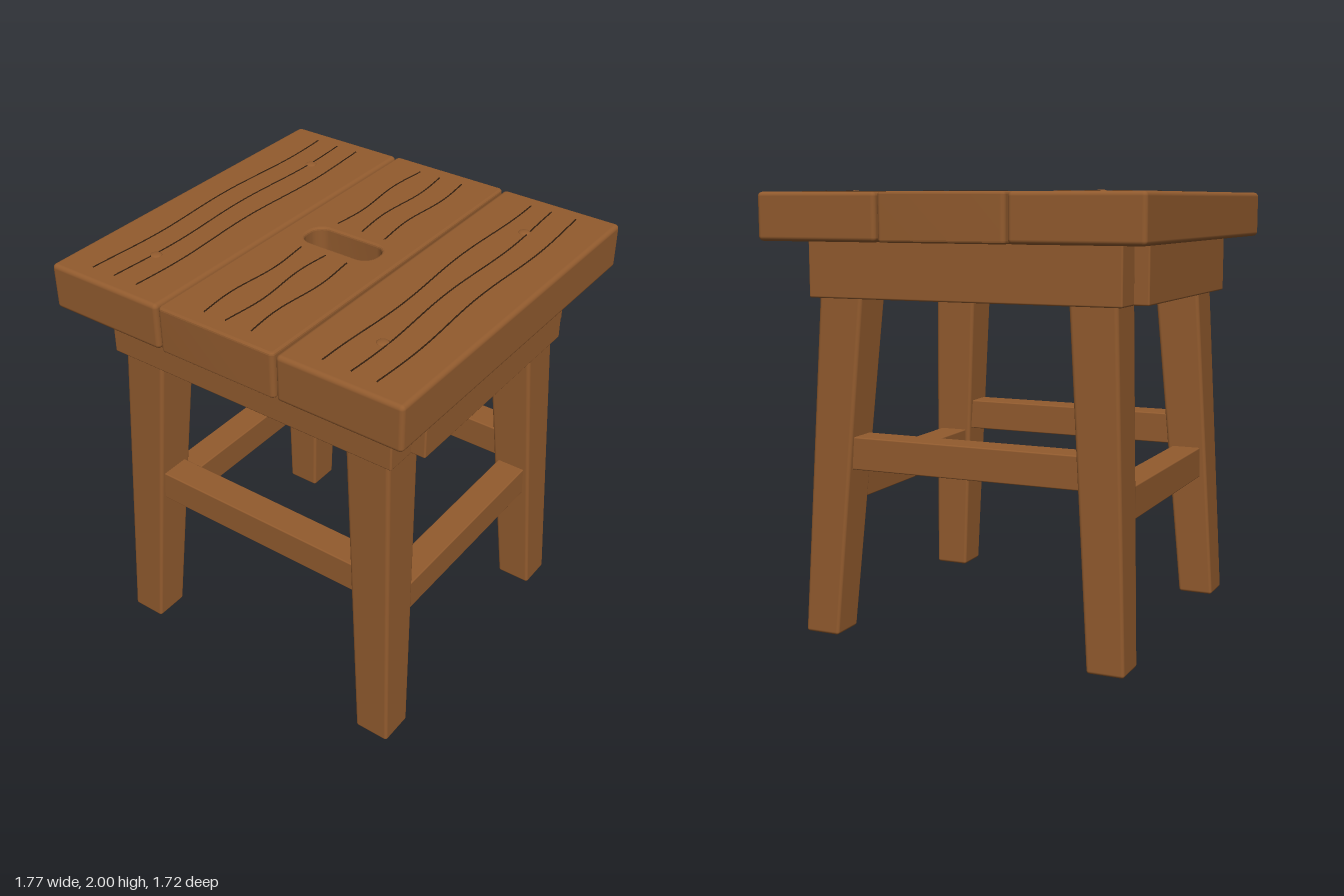
import * as THREE from 'three';
import { RoundedBoxGeometry } from 'three/addons/geometries/RoundedBoxGeometry.js';
import { toCreasedNormals } from 'three/addons/utils/BufferGeometryUtils.js';

const SEAT_TOP = 1.993, SEAT_BOTTOM = 1.782, SEAT_HALF_Z = 0.86;

export function createModel() {
  const stool = new THREE.Group();
  stool.name = 'stool';
  const wood = new THREE.MeshStandardMaterial({ color: 0x925b2e });
  wood.name = 'wood';
  const darkGrain = new THREE.MeshStandardMaterial({ color: 0x35200f });
  darkGrain.name = 'darkGrain';

  const add = (name, geometry, x = 0, y = 0, z = 0, material = wood) => {
    const mesh = new THREE.Mesh(geometry, material);
    mesh.name = name;
    mesh.position.set(x, y, z);
    stool.add(mesh);
    return mesh;
  };
  const roundedBox = (w, h, d, r) => new RoundedBoxGeometry(w, h, d, 3, r);

  // Rounded rectangle outline, used for the middle plank and its hand slot
  const roundedRect = (Type, w, h, r) => {
    const p = new Type();
    p.absarc(w - r, h - r, r, 0, Math.PI / 2);
    p.absarc(-w + r, h - r, r, Math.PI / 2, Math.PI);
    p.absarc(-w + r, -h + r, r, Math.PI, Math.PI * 1.5);
    p.absarc(w - r, -h + r, r, Math.PI * 1.5, Math.PI * 2);
    p.closePath();
    return p;
  };

  // Seat: two outer planks and a middle plank with a hand slot
  const thickness = SEAT_TOP - SEAT_BOTTOM;
  for (const side of [-1, 1]) {
    add(side < 0 ? 'rightPlank' : 'leftPlank',
      roundedBox(0.585, thickness, SEAT_HALF_Z * 2, 0.02),
      side * 0.5945, SEAT_BOTTOM + thickness / 2, 0);
  }
  const outline = roundedRect(THREE.Shape, 0.2925, SEAT_HALF_Z, 0.02);
  outline.holes.push(roundedRect(THREE.Path, 0.183, 0.073, 0.062));
  const bevel = 0.012;
  const middle = new THREE.ExtrudeGeometry(outline, {
    depth: thickness - 2 * bevel, bevelThickness: bevel, bevelSize: bevel,
    bevelOffset: -bevel, bevelSegments: 3, curveSegments: 6,
  });
  middle.rotateX(-Math.PI / 2);
  add('middlePlank', toCreasedNormals(middle, 0.2), 0, SEAT_BOTTOM + bevel, 0);

  // Thin wavy grain lines: [x, start z, end z, wave, phase]
  const grainLines = [
    [-0.716, -0.78, 0.78, 6.6, -1.04], [-0.598, -0.78, 0.78, 6.6, -1.24], [-0.48, -0.78, 0.78, 6.6, -1.9],
    [0.476, -0.78, 0.78, 6.6, -0.25], [0.596, -0.78, 0.78, 6.6, -2.2], [0.716, -0.78, 0.78, 6.6, -1.9],
    [-0.12, -0.78, -0.13, 11.4, 5], [0, -0.78, -0.13, 11.4, 2.1], [0.12, -0.78, -0.13, 11.4, 2.1],
    [-0.12, 0.13, 0.78, 11.4, -2.2], [0, 0.13, 0.78, 11.4, -4.9], [0.12, 0.13, 0.78, 11.4, -2.2],
  ];
  for (const [x, z0, z1, wave, phase] of grainLines) {
    const points = [];
    for (let i = 0; i <= 16; i++) {
      const z = z0 + (z1 - z0) * i / 16;
      points.push(new THREE.Vector3(x + 0.01 * Math.sin(z * wave + phase), 0, z));
    }
    const line = new THREE.TubeGeometry(new THREE.CatmullRomCurve3(points), 40, 0.0035, 6);
    add('grainLine', line, 0, SEAT_TOP, 0, darkGrain);
  }

  // Domed pegs
  const dome = new THREE.SphereGeometry(0.027, 20, 8, 0, Math.PI * 2, 0, Math.PI / 2);
  dome.scale(1, 0.3, 1);
  for (const x of [-0.583, 0.583]) {
    for (const z of [-0.545, 0.545]) add('peg', dome, x, SEAT_TOP - 0.001, z);
  }

  // Apron rails: side rails stand slightly proud of the front and back ends
  const apronHeight = 0.265, apronY = 1.53 + apronHeight / 2;
  for (const side of [-1, 1]) {
    add(side > 0 ? 'frontApron' : 'backApron',
      roundedBox(1.47, apronHeight, 0.147, 0.008), 0, apronY, side * 0.624);
    add(side > 0 ? 'leftApron' : 'rightApron',
      roundedBox(0.147, apronHeight, 1.106, 0.008), side * 0.726, apronY, 0);
  }

  // Splayed legs, thicker towards the top
  const legTop = 1.783;
  for (const sx of [-1, 1]) {
    for (const sz of [-1, 1]) {
      const leg = roundedBox(0.169, legTop, 0.169, 0.014);
      leg.translate(0, legTop / 2, 0);
      const p = leg.attributes.position;
      for (let i = 0; i < p.count; i++) {
        const t = p.getY(i) / 1.53;
        const grow = 1 + 0.27 * t;
        p.setX(i, p.getX(i) * grow + sx * (0.688 - 0.091 * t));
        p.setZ(i, p.getZ(i) * grow + sz * (0.648 - 0.089 * t));
      }
      add((sz > 0 ? 'front' : 'back') + (sx > 0 ? 'Left' : 'Right') + 'Leg', leg);
    }
  }

  // Stretchers: the side pair sits lower than the front and back pair
  for (const side of [-1, 1]) {
    add(side > 0 ? 'frontStretcher' : 'backStretcher',
      roundedBox(1.22, 0.148, 0.14, 0.006), 0, 0.837, side * 0.6);
    add(side > 0 ? 'leftStretcher' : 'rightStretcher',
      roundedBox(0.14, 0.148, 1.16, 0.006), side * 0.642, 0.681, 0);
  }
  return stool;
}
